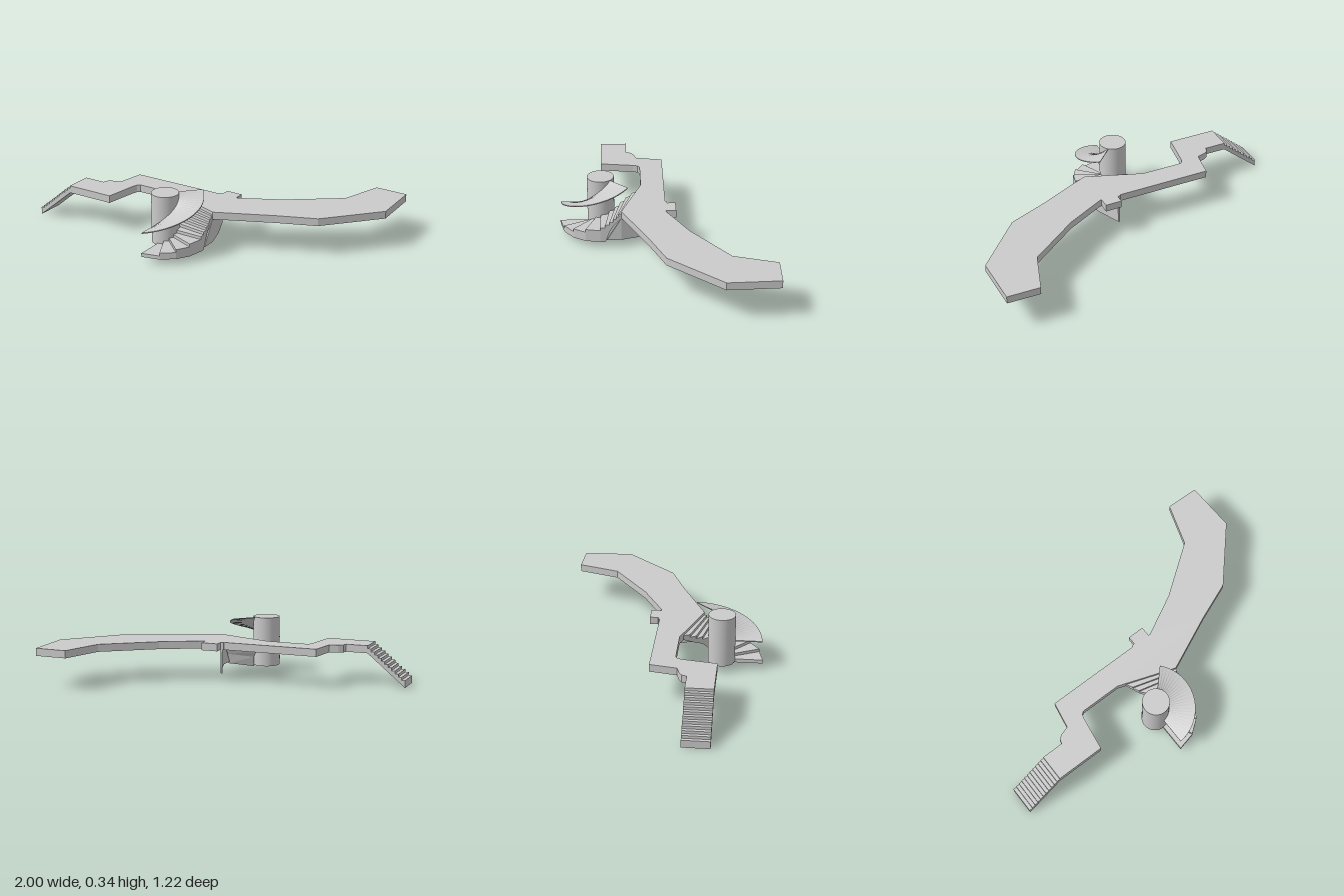
import * as THREE from 'three';

const mat = new THREE.MeshStandardMaterial({ color: 0xcccccc, flatShading: true });
const smooth = new THREE.MeshStandardMaterial({ color: 0xcccccc });
const DECK_TOP = 0.235, DECK_BOTTOM = 0.19;
const CX = -0.075, CZ = 0.36; // column axis

function add(group, name, geometry, material = mat) {
  const mesh = new THREE.Mesh(geometry, material);
  mesh.name = name;
  group.add(mesh);
  return mesh;
}

// Extrude a plan outline of [x, z] points between two heights
function slab(points, y0, y1) {
  const shape = new THREE.Shape(points.map(([x, z]) => new THREE.Vector2(x, -z)));
  return new THREE.ExtrudeGeometry(shape, { depth: y1 - y0, bevelEnabled: false })
    .rotateX(-Math.PI / 2).translate(0, y0, 0);
}

// Flat-faced solid swept through four-cornered sections, capped at both ends.
// Each section: inner top, outer top, outer bottom, inner bottom.
function sweep(sections) {
  const pos = [];
  const quad = (a, b, c, d) => pos.push(...a, ...b, ...c, ...a, ...c, ...d);
  for (let i = 0; i < sections.length - 1; i++) {
    const s = sections[i], t = sections[i + 1];
    for (let k = 0; k < 4; k++) {
      const n = (k + 1) % 4;
      quad(s[k], s[n], t[n], t[k]);
    }
  }
  const [a, b, c, d] = sections[0], [e, f, g, h] = sections[sections.length - 1];
  quad(a, d, c, b);
  quad(e, f, g, h);
  const geo = new THREE.BufferGeometry();
  geo.setAttribute('position', new THREE.Float32BufferAttribute(pos, 3));
  geo.computeVertexNormals();
  return geo;
}

// Point around the column: angle 0 faces +z and grows toward +x
const around = (deg, r) => {
  const a = THREE.MathUtils.degToRad(deg);
  return [CX + r * Math.sin(a), CZ + r * Math.cos(a)];
};

export function createModel() {
  const model = new THREE.Group();
  model.name = 'walkway';

  // Winding elevated deck
  add(model, 'deck', slab([
    [-0.77, 0.36], [-0.475, 0.36], [-0.445, 0.16], [-0.437, 0.133], [-0.42, 0.12],
    [-0.17, 0.12], [0.17, 0.24], [0.5, 0.09], [0.725, 0], [1, -0.305], [0.99, -0.605],
    [0.795, -0.61], [0.715, -0.36], [0.42, -0.145], [0.18, -0.02], [-0.525, -0.02],
    [-0.553, 0.14], [-0.605, 0.155], [-0.63, 0.172], [-0.638, 0.2], [-0.77, 0.2],
  ], DECK_BOTTOM, DECK_TOP));

  // Small landing on the back edge
  add(model, 'backLanding', slab([
    [0.05, -0.015], [0.17, -0.015], [0.17, -0.08], [0.07, -0.08], [0.07, -0.03], [0.05, -0.027],
  ], DECK_BOTTOM, DECK_TOP));

  // Straight stair with a sloping underside
  const steps = 11, run = 0.23 / steps, rise = 0.19 / steps;
  const stair = new THREE.Shape();
  stair.moveTo(-1, 0);
  stair.lineTo(-0.77, DECK_BOTTOM);
  stair.lineTo(-0.77, 0.045 + rise * (steps - 1));
  for (let i = steps - 1; i >= 0; i--) {
    stair.lineTo(-1 + i * run, 0.045 + i * rise);
    if (i) stair.lineTo(-1 + i * run, 0.045 + (i - 1) * rise);
  }
  add(model, 'straightStair', new THREE.ExtrudeGeometry(stair, { depth: 0.16, bevelEnabled: false })
    .translate(0, 0, 0.2));

  // Round column
  add(model, 'column', new THREE.CylinderGeometry(0.08, 0.08, 0.3, 40).translate(CX, 0.195, CZ), smooth);

  // Curved stair: radial treads first, then treads turning parallel to the deck edge
  const edges = [0, 26, 48, 68, 89].map((d) => ({ inner: around(d, 0.078), outer: around(d, 0.245), base: 0.035 }));
  const flight = [
    [-0.01, 0.31, 0.335, 0.035], [-0.025, 0.275, 0.31, 0.1], [-0.05, 0.245, 0.29, 0.135],
    [-0.08, 0.21, 0.272, 0.155], [-0.1, 0.175, 0.255, 0.172], [-0.12, 0.138, 0.24, 0.19],
  ];
  for (const [x, z, outerZ, base] of flight) edges.push({ inner: [x, z], outer: [0.17, outerZ], base });
  const curved = new THREE.Group();
  curved.name = 'curvedStair';
  model.add(curved);
  for (let i = 0; i < edges.length - 1; i++) {
    const top = 0.057 + i * 0.0178;
    const section = ({ inner: [ix, iz], outer: [ox, oz], base }) => {
      const low = Math.min(base, top - 0.005);
      return [[ix, top, iz], [ox, top, oz], [ox, low, oz], [ix, low, iz]];
    };
    add(curved, 'tread', sweep([section(edges[i]), section(edges[i + 1])]));
  }

  // Bent support wall beneath the deck
  const wallPath = [[0.068, -0.03], [0.13, 0.11], [0.17, 0.24], [0.17, 0.325]];
  add(model, 'supportWall', sweep(wallPath.map(([x, z]) => [
    [x, DECK_BOTTOM - (z > 0.3 ? 0.14 : 0), z], [x - 0.012, DECK_BOTTOM - (z > 0.3 ? 0.14 : 0), z],
    [x - 0.012, 0.048, z], [x, 0.048, z],
  ])));

  // Thin spiral ramp climbing around the column
  const ramp = [];
  for (let i = 0; i <= 24; i++) {
    const t = i / 24, y = 0.18 + t * 0.163;
    const [ix, iz] = around(t * 136, 0.077), [ox, oz] = around(t * 136, 0.238 - 0.016 * t);
    ramp.push([[ix, y, iz], [ox, y, oz], [ox, y - 0.006, oz], [ix, y - 0.006, iz]]);
  }
  add(model, 'spiralRamp', sweep(ramp));

  return model;
}
